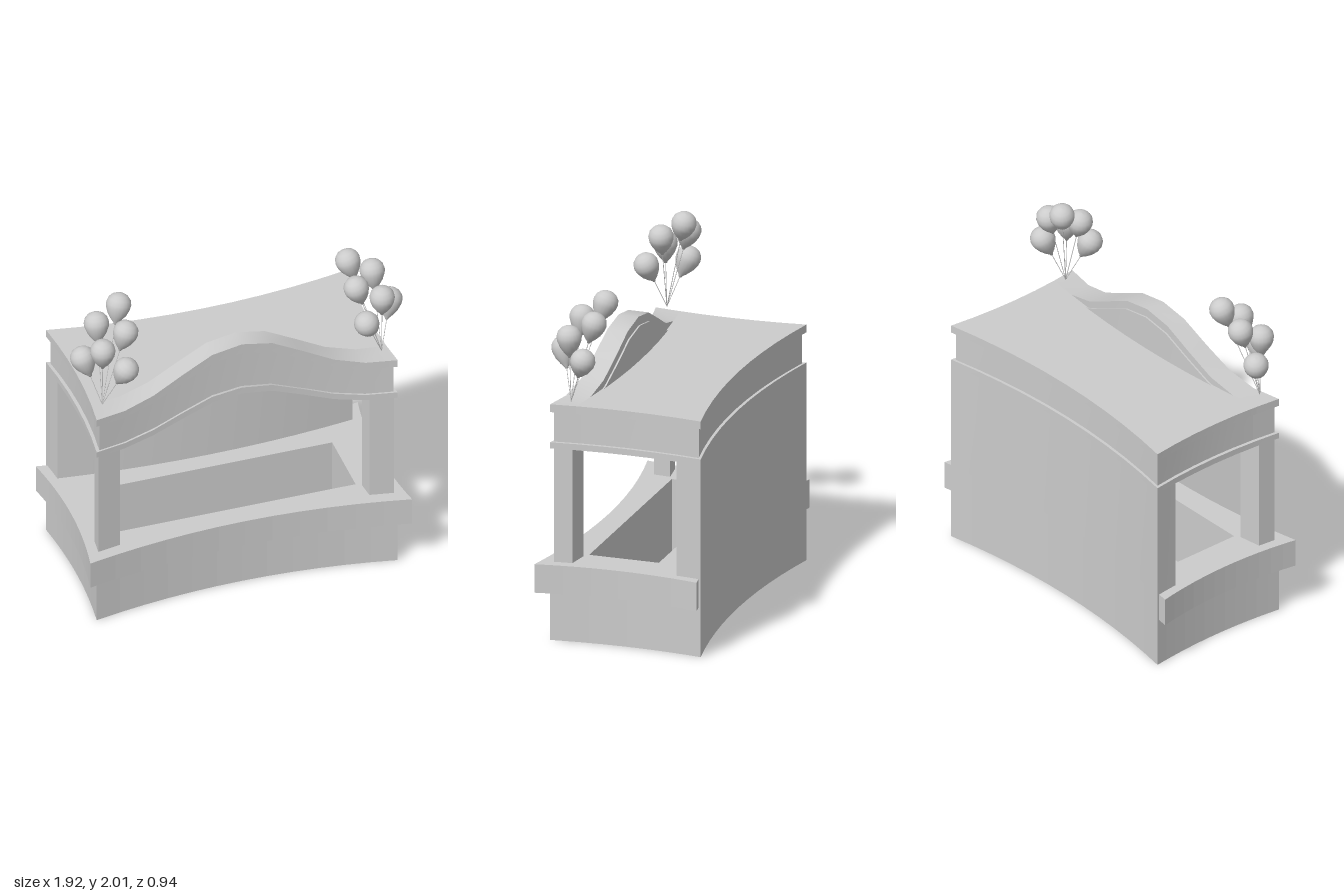
import * as THREE from 'three';

const CX = -0.01;
const mat = new THREE.MeshStandardMaterial({ color: 0xcccccc });
const thinMat = new THREE.MeshStandardMaterial({ color: 0xcccccc, side: THREE.DoubleSide });

// Plans with four inward-bowed sides: half width, front and back corner z, and bows
const BODY = { hx: 0.87, zf: 0.4, zb: -0.475, side: 0.03, front: 0.09, back: 0.085 };
const FRIEZE = { ...BODY, hx: 0.85, zf: 0.385, zb: -0.457 };
const COUNTER = { hx: 0.93, zf: 0.47, zb: -0.472, side: 0.045, front: 0.1, back: 0.085 };
const BAND = 2 / 3; // where the raised front crest starts

// u, w in -1..1 across and along the plan, to x and z
function planPoint(p, u, w) {
  const k = 1 - u * u;
  const front = p.zf - p.front * k, back = p.zb + p.back * k;
  return [CX + u * (p.hx - p.side * (1 - w * w)), back + (front - back) * (w + 1) / 2];
}

// Wave of the front edge, 0 at the ends and 1 in the middle
function wave(u) {
  const knots = [1, 0.88, 0.53, 0.18, 0, 0];
  const t = Math.min(Math.abs(u) * 5, 5), i = Math.min(Math.floor(t + 1e-6), 4);
  return knots[i] + (knots[i + 1] - knots[i]) * (t - i);
}
const slope = w => Math.max(0, (w + BAND) / (1 + BAND));

function addMesh(parent, name, geometry, material = mat) {
  const mesh = new THREE.Mesh(geometry, material);
  mesh.name = name;
  parent.add(mesh);
  return mesh;
}

// Box bent to a plan, with bottom and top given as heights or functions of (u, w)
function bentBox(p, [u0, u1], [w0, w1], low, high, nu = 10, nw = 6) {
  const g = new THREE.BoxGeometry(1, 1, 1, nu, 1, nw);
  const at = (f, u, w) => (typeof f === 'function' ? f(u, w) : f);
  const pos = g.attributes.position;
  for (let i = 0; i < pos.count; i++) {
    const u = u0 + (u1 - u0) * (pos.getX(i) + 0.5);
    const w = w0 + (w1 - w0) * (pos.getZ(i) + 0.5);
    const [x, z] = planPoint(p, u, w);
    pos.setXYZ(i, x, at(pos.getY(i) < 0 ? low : high, u, w), z);
  }
  g.computeVertexNormals();
  return g;
}

// Closed outline of a plan as [x, z] points
function outline(p, n = 12) {
  const pts = [];
  const corners = [[-1, 1], [1, 1], [1, -1], [-1, -1]];
  corners.forEach(([u, w], c) => {
    const [u2, w2] = corners[(c + 1) % 4];
    for (let i = 0; i < n; i++) pts.push(planPoint(p, u + (u2 - u) * i / n, w + (w2 - w) * i / n));
  });
  return pts;
}

// Upright walls along an outline, open above and below
function shell(pts, y0, y1) {
  const v = [];
  pts.forEach(([ax, az], i) => {
    const [bx, bz] = pts[(i + 1) % pts.length];
    v.push(ax, y0, az, bx, y0, bz, bx, y1, bz, ax, y0, az, bx, y1, bz, ax, y1, az);
  });
  const g = new THREE.BufferGeometry();
  g.setAttribute('position', new THREE.Float32BufferAttribute(v, 3));
  g.computeVertexNormals();
  return g;
}

// Bunch of balloons on strings; side is +1 for left, -1 for right
function balloonBunch(side) {
  const bunch = new THREE.Group();
  bunch.name = side > 0 ? 'leftBalloons' : 'rightBalloons';
  const anchor = new THREE.Vector3(0, 0, 0);
  const spots = [
    [-0.14, 0.525, -0.145], [-0.135, 0.43, -0.015], [-0.01, 0.44, -0.125],
    [0, 0.35, 0.01], [0.075, 0.25, -0.09], [-0.105, 0.25, 0.075],
  ];
  const egg = new THREE.LatheGeometry([
    [0, -0.1], [0.008, -0.098], [0.012, -0.088], [0.03, -0.068], [0.053, -0.035], [0.067, 0.0],
    [0.07, 0.025], [0.063, 0.052], [0.045, 0.073], [0.022, 0.084], [0, 0.087],
  ].map(([r, y]) => new THREE.Vector2(r, y)), 20);
  const up = new THREE.Vector3(0, 1, 0);
  for (const [x, y, z] of spots) {
    const centre = new THREE.Vector3(x * side, y, z);
    const dir = centre.clone().sub(anchor).normalize();
    const balloon = addMesh(bunch, 'balloon', egg);
    balloon.position.copy(centre);
    balloon.quaternion.setFromUnitVectors(up, dir);
    const length = centre.length() - 0.09;
    const string = addMesh(bunch, 'string', new THREE.CylinderGeometry(0.002, 0.002, length, 5));
    string.position.copy(dir).multiplyScalar(length / 2);
    string.quaternion.copy(balloon.quaternion);
  }
  if (side > 0) bunch.position.set(0.8, 1.375, 0.3);
  else bunch.position.set(-0.82, 1.4, 0.315);
  return bunch;
}

export function createModel() {
  const model = new THREE.Group();
  model.name = 'balloonBooth';
  const full = [-1, 1];

  // Hollow base with an inner well, both open below
  const well = [[-0.69, 0.24], [0.67, 0.24], [0.67, -0.165], [-0.69, -0.165]];
  addMesh(model, 'base', shell(outline(BODY), 0, 0.45), thinMat);
  addMesh(model, 'well', shell(well, 0, 0.285), thinMat);

  // Counter ring around the well
  const toShape = pts => pts.map(([x, z]) => new THREE.Vector2(x, -z));
  const ring = new THREE.Shape(toShape(outline(COUNTER)));
  ring.holes.push(new THREE.Path(toShape(well)));
  const counter = new THREE.ExtrudeGeometry(ring, { depth: 0.165, bevelEnabled: false });
  counter.rotateX(-Math.PI / 2).translate(0, 0.285, 0);
  addMesh(model, 'counter', counter);

  // Back wall and front posts
  addMesh(model, 'backWall', bentBox(BODY, full, [-1, -BAND], 0.45, 1.11, 10, 2));
  addMesh(model, 'leftPost', bentBox(BODY, [0.83, 0.985], [0.73, 0.965], 0.45, 1.125, 1, 1));
  addMesh(model, 'rightPost', bentBox(BODY, [-0.985, -0.83], [0.73, 0.965], 0.45, 1.125, 1, 1));

  // Trim, whose underside is the ceiling sloping up to the arched front
  const trimTop = (u, w) => 1.145 + 0.175 * wave(u) * slope(w);
  addMesh(model, 'trim', bentBox(BODY, full, full, (u, w) => 1.11 + 0.17 * wave(u) * slope(w), trimTop));

  // Frieze and cornice: a flat roof behind and a raised wavy crest in front
  const rise = (y, h) => u => y + h * wave(u);
  addMesh(model, 'frieze', bentBox(FRIEZE, full, [-1, BAND], trimTop, 1.33, 10, 5));
  addMesh(model, 'friezeCrest', bentBox(FRIEZE, full, [BAND, 1], trimTop, rise(1.33, 0.235), 10, 1));
  addMesh(model, 'roof', bentBox(BODY, full, [-1, BAND], 1.32, 1.365, 10, 5));
  addMesh(model, 'roofCrest', bentBox(BODY, full, [BAND, 1], rise(1.32, 0.235), rise(1.365, 0.25), 10, 1));

  // Balloons at both front corners
  model.add(balloonBunch(1), balloonBunch(-1));
  return model;
}
